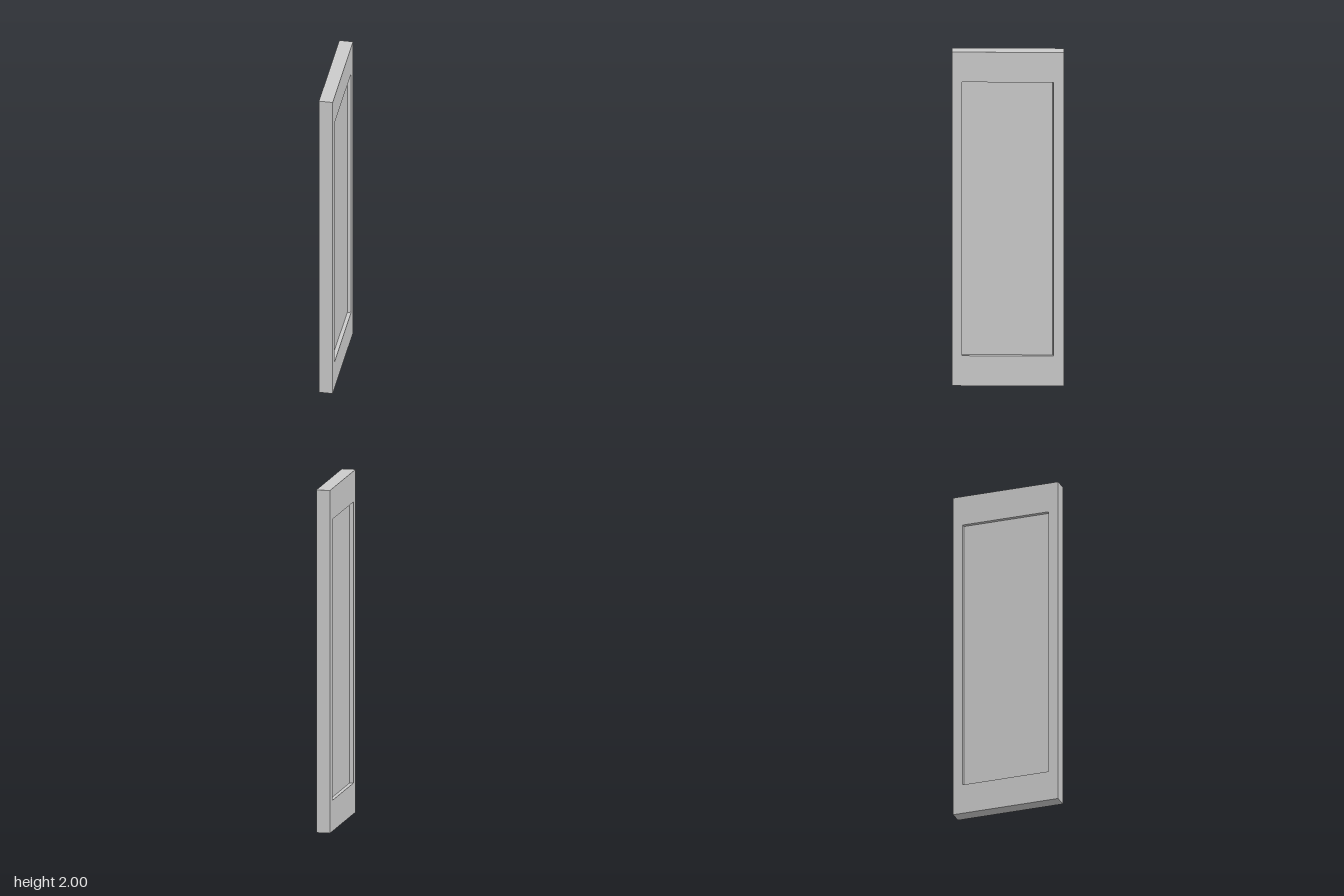
import * as THREE from 'three';

export function createModel() {
  const group = new THREE.Group();
  const mat = new THREE.MeshStandardMaterial({ color: 0xcccccc, flatShading: true });
  const T = 0.08, W = 0.64, H = 2;          // door thickness, width, height
  const oz = 0.262, y0 = 0.18, y1 = 1.82;   // panel opening
  const depth = 0.022;                      // recess on each face

  const rect = (P, a, b, c, d) =>
    new P([[a, b], [c, b], [c, d], [a, d]].map(p => new THREE.Vector2(...p)));
  // Extrudes a shape drawn in (z, y) along x, centred on x = 0
  const slab = (name, shape, thick) => {
    const geo = new THREE.ExtrudeGeometry(shape, { depth: thick, bevelEnabled: false });
    geo.translate(0, 0, -thick / 2).rotateY(-Math.PI / 2);
    const mesh = new THREE.Mesh(geo, mat);
    mesh.name = name;
    group.add(mesh);
  };

  // Frame with a tall opening
  const frame = rect(THREE.Shape, -W / 2, 0, W / 2, H);
  frame.holes.push(rect(THREE.Path, -oz, y0, oz, y1));
  slab('doorFrame', frame, T);

  // Inset panel, recessed on both faces
  slab('insetPanel', rect(THREE.Shape, -oz, y0, oz, y1), T - 2 * depth);

  // Slightly slanted reveal along the rear edge of the recess
  const xi = T / 2 - depth;
  const wedge = new THREE.Shape([
    new THREE.Vector2(xi, oz), new THREE.Vector2(T / 2, oz), new THREE.Vector2(xi, oz - 0.006),
  ].reverse());
  const geo = new THREE.ExtrudeGeometry(wedge, { depth: y1 - y0, bevelEnabled: false });
  geo.rotateX(-Math.PI / 2).translate(0, y0, 0);
  const reveal = new THREE.Mesh(geo, mat);
  reveal.name = 'rearReveal';
  group.add(reveal);

  return group;
}
